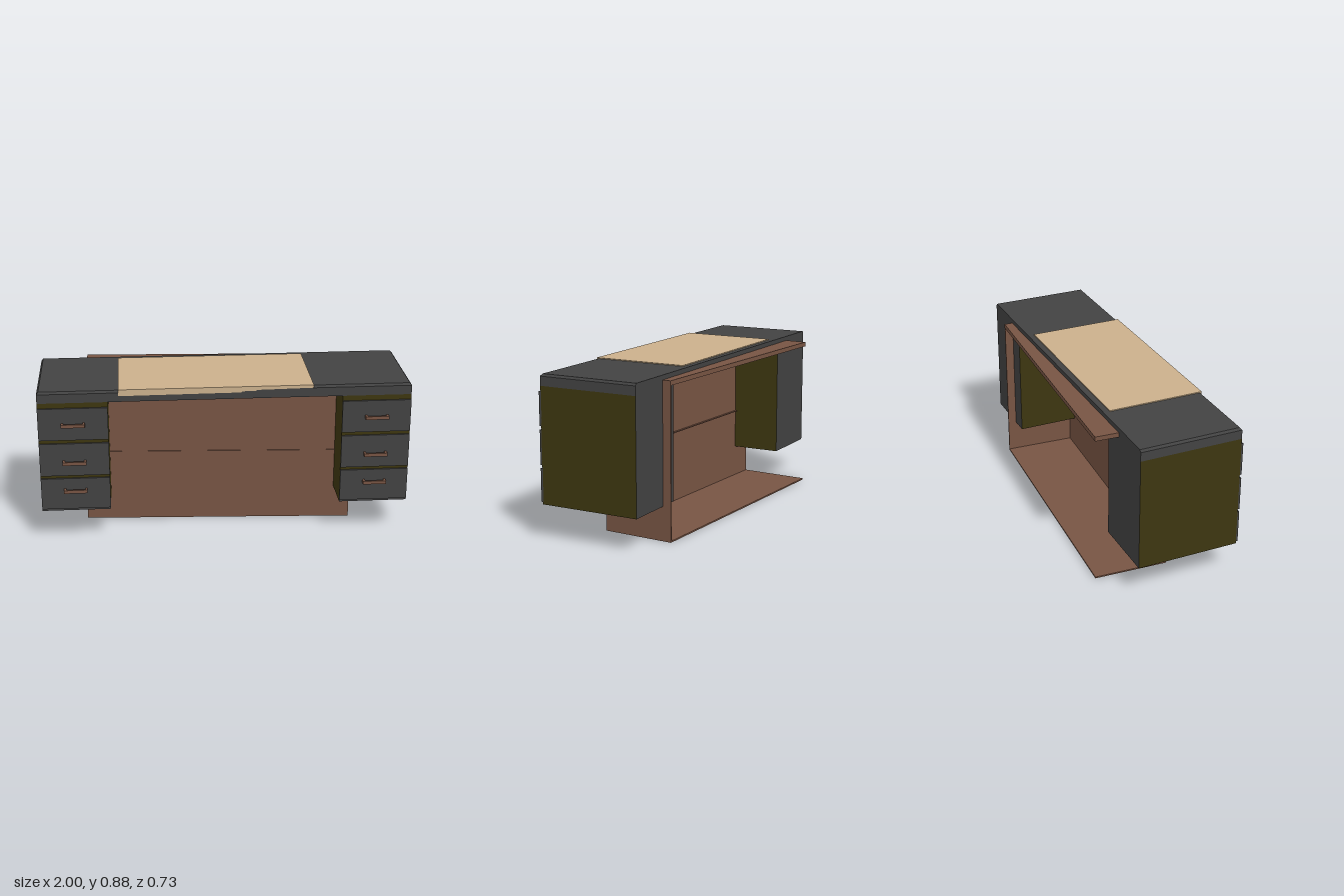
import * as THREE from 'three';

const mat = (name, color) => Object.assign(new THREE.MeshStandardMaterial({ color }), { name });

export function createModel() {
  const grey = mat('charcoal', 0x424242);
  const olive = mat('olive', 0x3d3610);
  const brown = mat('brown wood', 0x775443);
  const cream = mat('cream', 0xcbb08c);
  const desk = new THREE.Group();
  desk.name = 'desk';

  // Box given by its low and high corners
  const box = (parent, name, material, [x0, y0, z0], [x1, y1, z1]) => {
    const geo = new THREE.BoxGeometry(x1 - x0, y1 - y0, z1 - z0);
    geo.translate((x0 + x1) / 2, (y0 + y1) / 2, (z0 + z1) / 2);
    const mesh = new THREE.Mesh(geo, material);
    mesh.name = name;
    parent.add(mesh);
    return mesh;
  };

  // Desktop slab, with its upper edge bevelled at the front and ends
  box(desk, 'desktop', grey, [-1, 0.808, -0.238], [1, 0.858, 0.323]);
  const cap = box(desk, 'desktopBevel', grey, [-1, 0.858, -0.238], [1, 0.87, 0.323]);
  const p = cap.geometry.attributes.position;
  for (let i = 0; i < p.count; i++) {
    if (p.getY(i) < 0.865) continue;
    p.setX(i, p.getX(i) * 0.99);
    if (p.getZ(i) > 0) p.setZ(i, 0.313);
  }
  cap.geometry.computeVertexNormals();

  // Writing mat, with a front edge that narrows to one side
  box(desk, 'writingMat', cream, [-0.57, 0.868, -0.205], [0.47, 0.875, 0.323]);
  const edge = new THREE.Shape([
    [-0.57, 0.84], [0.08, 0.843], [0.09, 0.849], [0.16, 0.85], [0.17, 0.855],
    [0.47, 0.859], [0.47, 0.875], [-0.57, 0.875],
  ].map(([x, y]) => new THREE.Vector2(x, y)));
  const matEdge = new THREE.Mesh(
    new THREE.ExtrudeGeometry(edge, { depth: 0.011, bevelEnabled: false }), cream);
  matEdge.name = 'writingMatEdge';
  matEdge.position.z = 0.313;
  desk.add(matEdge);

  // Two drawer pedestals: olive sides and front, charcoal back and underside
  const faces = [olive, olive, grey, grey, olive, grey];
  const drawers = [[0.6, 0.78, 0.69], [0.395, 0.58, 0.475], [0.2, 0.378, 0.311]];
  for (const side of [-1, 1]) {
    const pedestal = new THREE.Group();
    pedestal.name = side > 0 ? 'leftPedestal' : 'rightPedestal';
    pedestal.position.x = side * 0.814;
    desk.add(pedestal);
    box(pedestal, 'cabinet', faces, [-0.186, 0.187, -0.238], [0.186, 0.808, 0.323]);
    box(pedestal, 'cabinetFoot', grey, [-0.185, 0.187, 0.323], [0.185, 0.2, 0.325]);
    for (const [low, high, grip] of drawers) {
      box(pedestal, 'drawerFront', grey, [-0.186, low, 0.32], [0.186, high, 0.333]);
      box(pedestal, 'handleBar', brown, [-0.063, grip - 0.009, 0.352], [0.063, grip + 0.009, 0.363]);
      for (const s of [-1, 1]) {
        const x = s * 0.057;
        box(pedestal, 'handlePost', brown,
          [x - 0.006, grip - 0.009, 0.333], [x + 0.006, grip + 0.009, 0.352]);
      }
    }
  }

  // Slightly turned wooden frame: front panel, floor, one end panel and back rail
  const frame = new THREE.Group();
  frame.name = 'woodenFrame';
  frame.position.set(-0.0135, 0, -0.1225);
  frame.rotation.y = -0.054;
  desk.add(frame);
  const w = 0.743, d = 0.2025;
  box(frame, 'frontPanel', brown, [-w, 0, d - 0.008], [w, 0.82, d]);
  box(frame, 'panelSeam', brown, [-w, 0.407, d - 0.02], [w, 0.412, d + 0.004]);
  box(frame, 'floorBoard', brown, [-w, 0, -d], [w, 0.008, d - 0.008]);
  box(frame, 'endPanel', brown, [w - 0.008, 0.008, -d], [w, 0.82, d - 0.008]);
  box(frame, 'backRail', brown, [-w, 0.82, -d], [w, 0.845, -d + 0.18]);

  return desk;
}
